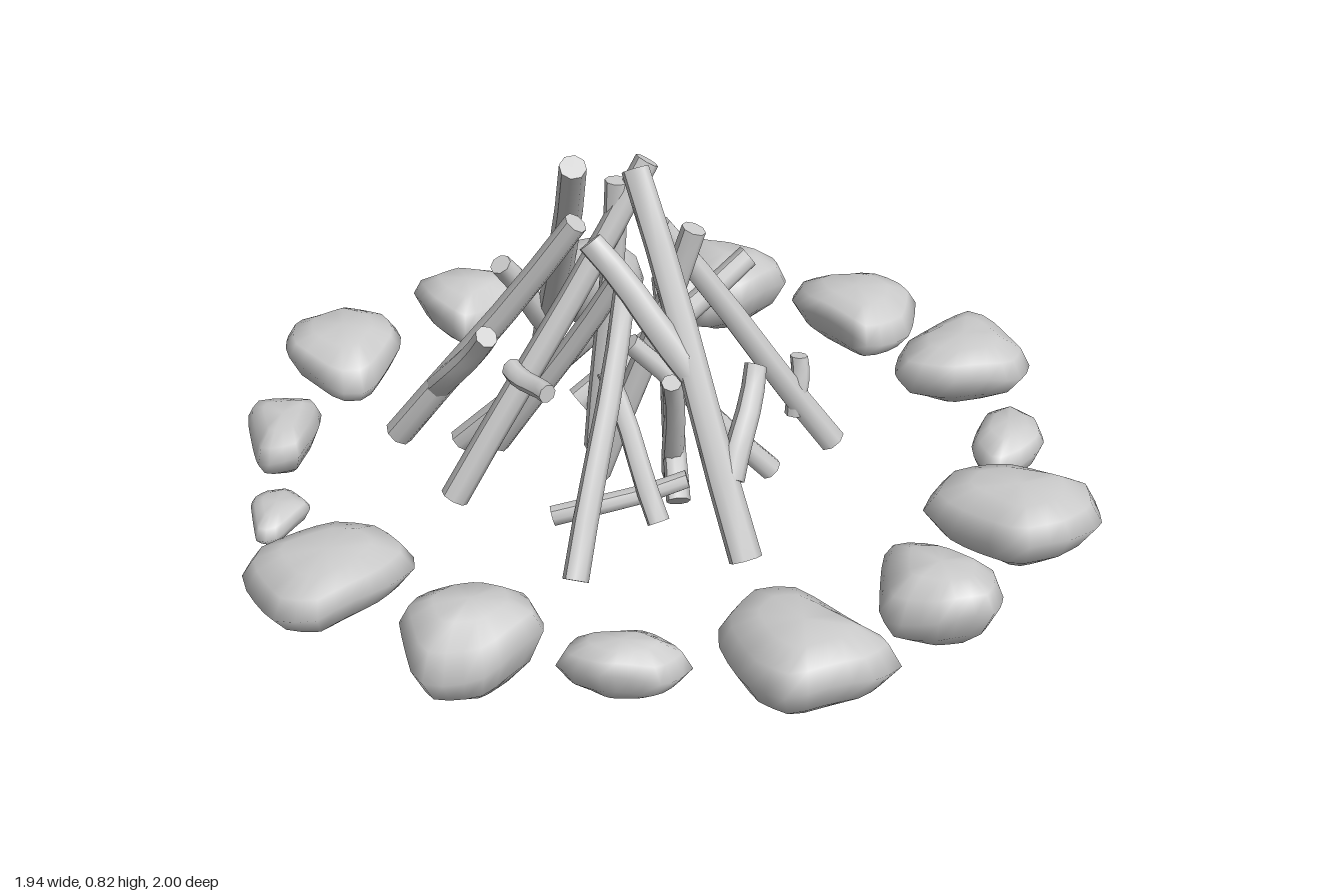
import * as THREE from 'three';
import { mergeVertices } from 'three/addons/utils/BufferGeometryUtils.js';

const material = new THREE.MeshStandardMaterial({ color: 0xcccccc });

// Stone: a plan outline (x, z pairs) lofted through rings from y0 to y1
const RINGS = [[0, 0], [0.5, 0.03], [0.8, 0.22], [1, 0.54], [0.85, 0.8], [0.52, 0.96], [0, 1]];
const SIDES = 22;

function stoneGeometry(y0, y1, plan) {
  const corners = [];
  for (let i = 0; i < plan.length; i += 2) corners.push(new THREE.Vector3(plan[i], 0, plan[i + 1]));
  const outline = new THREE.CatmullRomCurve3(corners, true, 'catmullrom', 0.18).getSpacedPoints(SIDES).slice(0, SIDES);
  const mid = new THREE.Vector3();
  outline.forEach(p => mid.addScaledVector(p, 1 / SIDES));
  const pos = [], index = [];
  RINGS.forEach(([s, h], j) => outline.forEach((p, i) => {
    // the waist rises and falls around the stone so no two look alike
    const wave = 0.5 * h * (1 - h) * Math.sin(i / SIDES * Math.PI * 4 + mid.x * 9) * s;
    pos.push(mid.x + (p.x - mid.x) * s, y0 + (y1 - y0) * (h + wave), mid.z + (p.z - mid.z) * s);
    if (j === RINGS.length - 1) return;
    const a = j * SIDES + i, b = j * SIDES + (i + 1) % SIDES;
    if (j < RINGS.length - 2) index.push(a + SIDES, b + SIDES, b);
    else index.push(a, a + SIDES, b);
    if (j > 0 && j < RINGS.length - 2) index.push(a, a + SIDES, b);
  }));
  let g = new THREE.BufferGeometry();
  g.setAttribute('position', new THREE.Float32BufferAttribute(pos, 3));
  g.setIndex(index);
  g = mergeVertices(g, 1e-4);
  g.computeVertexNormals();
  return g;
}

// Stick: a tapered, slightly bowed cylinder between two points
function stickGeometry(from, to, r0, r1, bow) {
  const a = new THREE.Vector3(...from), b = new THREE.Vector3(...to);
  const dir = b.clone().sub(a), len = dir.length();
  const g = new THREE.CylinderGeometry(r1, r0, len, 8, 5);
  const p = g.attributes.position;
  for (let i = 0; i < p.count; i++) {
    const t = p.getY(i) / len + 0.5;
    p.setX(i, p.getX(i) + bow * Math.sin(t * Math.PI));
    p.setZ(i, p.getZ(i) + bow * 0.6 * Math.sin(t * Math.PI * 2));
  }
  g.computeVertexNormals();
  g.applyQuaternion(new THREE.Quaternion().setFromUnitVectors(new THREE.Vector3(0, 1, 0), dir.normalize()));
  g.translate((a.x + b.x) / 2, (a.y + b.y) / 2, (a.z + b.z) / 2);
  return g;
}

export function createModel() {
  const model = new THREE.Group();
  const ring = new THREE.Group();
  ring.name = 'stoneRing';
  const pile = new THREE.Group();
  pile.name = 'stickPile';
  model.add(ring, pile);

  const add = (group, name, geometry) => {
    const mesh = new THREE.Mesh(geometry, material);
    mesh.name = name;
    group.add(mesh);
  };
  const stone = (name, y0, y1, ...plan) => add(ring, name, stoneGeometry(y0, y1, plan));
  const stick = (name, from, to, r0 = 0.032, r1 = 0.027, bow = 0.006) =>
    add(pile, name, stickGeometry(from, to, r0, r1, bow));

  // Right side stones
  stone('rightStone', 0.05, 0.2, -0.96, -0.17, -0.85, -0.24, -0.73, -0.24, -0.69, -0.02, -0.83, 0, -0.96, -0.05);
  stone('rightBackStone', 0.03, 0.24, -0.82, -0.41, -0.77, -0.53, -0.66, -0.56, -0.57, -0.46, -0.64, -0.34, -0.72, -0.31, -0.81, -0.33);
  stone('rightFrontStone', 0.05, 0.2, -0.97, 0.15, -0.83, 0.11, -0.72, 0.15, -0.62, 0.31, -0.66, 0.38, -0.84, 0.4, -0.97, 0.31);

  // Back stones
  stone('backCornerStone', 0.03, 0.21, -0.69, -0.72, -0.6, -0.81, -0.46, -0.86, -0.39, -0.81, -0.35, -0.64, -0.42, -0.53, -0.58, -0.59);
  stone('backWideStone', 0.06, 0.21, -0.33, -0.83, -0.23, -0.95, -0.08, -0.96, 0.01, -0.85, 0, -0.71, -0.23, -0.71, -0.33, -0.77);
  stone('backTallStone', 0.06, 0.21, 0.08, -0.98, 0.15, -1, 0.3, -0.96, 0.35, -0.86, 0.28, -0.69, 0.16, -0.65, 0.07, -0.75);
  stone('backSlimStone', 0.05, 0.17, 0.41, -0.77, 0.5, -0.76, 0.58, -0.69, 0.59, -0.62, 0.57, -0.53, 0.48, -0.56, 0.41, -0.68);

  // Left side stones
  stone('leftBackStone', 0.05, 0.21, 0.56, -0.38, 0.63, -0.5, 0.79, -0.61, 0.88, -0.53, 0.9, -0.4, 0.85, -0.29, 0.6, -0.28);
  stone('leftStone', 0.03, 0.2, 0.68, -0.08, 0.75, -0.18, 0.89, -0.21, 0.97, -0.1, 0.91, 0, 0.8, 0.05);
  stone('leftFrontStone', 0.03, 0.2, 0.61, 0.24, 0.67, 0.16, 0.93, 0.12, 0.96, 0.23, 0.91, 0.4, 0.8, 0.41, 0.64, 0.35);

  // Front stones
  stone('frontOuterStone', 0.04, 0.16, 0.47, 0.58, 0.57, 0.46, 0.67, 0.43, 0.68, 0.52, 0.6, 0.62, 0.5, 0.64);
  stone('frontRoundStone', 0, 0.2, 0.2, 0.7, 0.24, 0.61, 0.33, 0.56, 0.43, 0.61, 0.45, 0.76, 0.36, 0.87, 0.22, 0.81);
  stone('frontLargeStone', 0.06, 0.2, -0.15, 0.92, -0.12, 0.73, -0.05, 0.65, 0.06, 0.65, 0.12, 0.78, 0.14, 0.95, 0.06, 1, -0.11, 0.97);
  stone('frontSmallStone', 0.07, 0.14, -0.39, 0.74, -0.37, 0.69, -0.27, 0.7, -0.23, 0.81, -0.25, 0.85, -0.37, 0.79);
  stone('frontSlimStone', 0.06, 0.18, -0.69, 0.58, -0.62, 0.45, -0.52, 0.53, -0.43, 0.63, -0.48, 0.7, -0.66, 0.62);

  // Long leaning poles meeting at the top
  stick('rightPole', [-0.57, 0.09, -0.17], [-0.12, 0.79, 0.09], 0.036, 0.03);
  stick('leftPole', [0.43, 0.07, 0.075], [-0.01, 0.8, 0.01], 0.036, 0.03);
  stick('frontPole', [-0.18, 0.06, 0.39], [-0.03, 0.8, -0.04]);
  stick('frontRightPole', [-0.48, 0.07, 0.33], [-0.1, 0.67, 0.1], 0.034);
  stick('frontLeftPole', [0.25, 0.06, 0.39], [0.05, 0.56, 0.09], 0.028, 0.024);
  stick('backLeftPole', [0.21, 0.09, -0.39], [0.01, 0.66, -0.04]);
  stick('innerPole', [-0.06, 0.06, 0.08], [0.1, 0.68, -0.06], 0.03);
  stick('topPole', [-0.1, 0.1, 0.05], [-0.06, 0.76, 0.02], 0.028, 0.025);

  // Forked side branches
  stick('rightFork', [-0.48, 0.2, -0.12], [-0.46, 0.42, 0.04], 0.034, 0.026);
  stick('leftLowerFork', [0.35, 0.22, 0.05], [0.28, 0.42, -0.08], 0.03, 0.024);
  stick('leftUpperFork', [0.22, 0.42, 0.045], [0.01, 0.68, 0.15], 0.034, 0.028);
  stick('frontRightFork', [-0.38, 0.22, 0.28], [-0.19, 0.42, 0.28], 0.03, 0.026);
  stick('backFork', [0.17, 0.17, -0.31], [0.16, 0.31, -0.325], 0.024, 0.02);

  // Sticks jutting out at the back
  stick('backUpperStick', [-0.15, 0.2, 0.06], [-0.02, 0.49, -0.33], 0.032, 0.027);
  stick('backLowerStick', [-0.13, 0.18, 0.02], [-0.2, 0.37, -0.34], 0.03, 0.028);

  // Thin kindling inside the pile
  stick('kindling', [-0.39, 0.05, 0.22], [-0.1, 0.42, 0], 0.029, 0.025);
  stick('kindling', [-0.3, 0.07, 0.18], [-0.02, 0.55, 0.05], 0.028, 0.024);
  stick('kindling', [0.15, 0.06, 0.02], [-0.17, 0.42, -0.2], 0.027, 0.022);
  stick('kindling', [0.32, 0.2, 0.03], [-0.1, 0.45, -0.16], 0.027, 0.022);
  stick('kindling', [0.24, 0.12, -0.03], [-0.04, 0.3, -0.14], 0.024, 0.02);
  stick('kindling', [0.18, 0.06, -0.23], [0.03, 0.42, 0.06], 0.027, 0.023);
  stick('kindling', [-0.13, 0.36, 0.26], [0.01, 0.36, 0.27], 0.024, 0.021);
  stick('kindling', [0.02, 0.06, 0.27], [0.19, 0.14, 0.03], 0.024, 0.021);
  stick('kindling', [0.2, 0.07, 0.12], [0, 0.35, 0.1], 0.025, 0.022);
  stick('kindling', [0.05, 0.06, -0.05], [0.17, 0.38, 0.06], 0.026, 0.022);
  return model;
}
